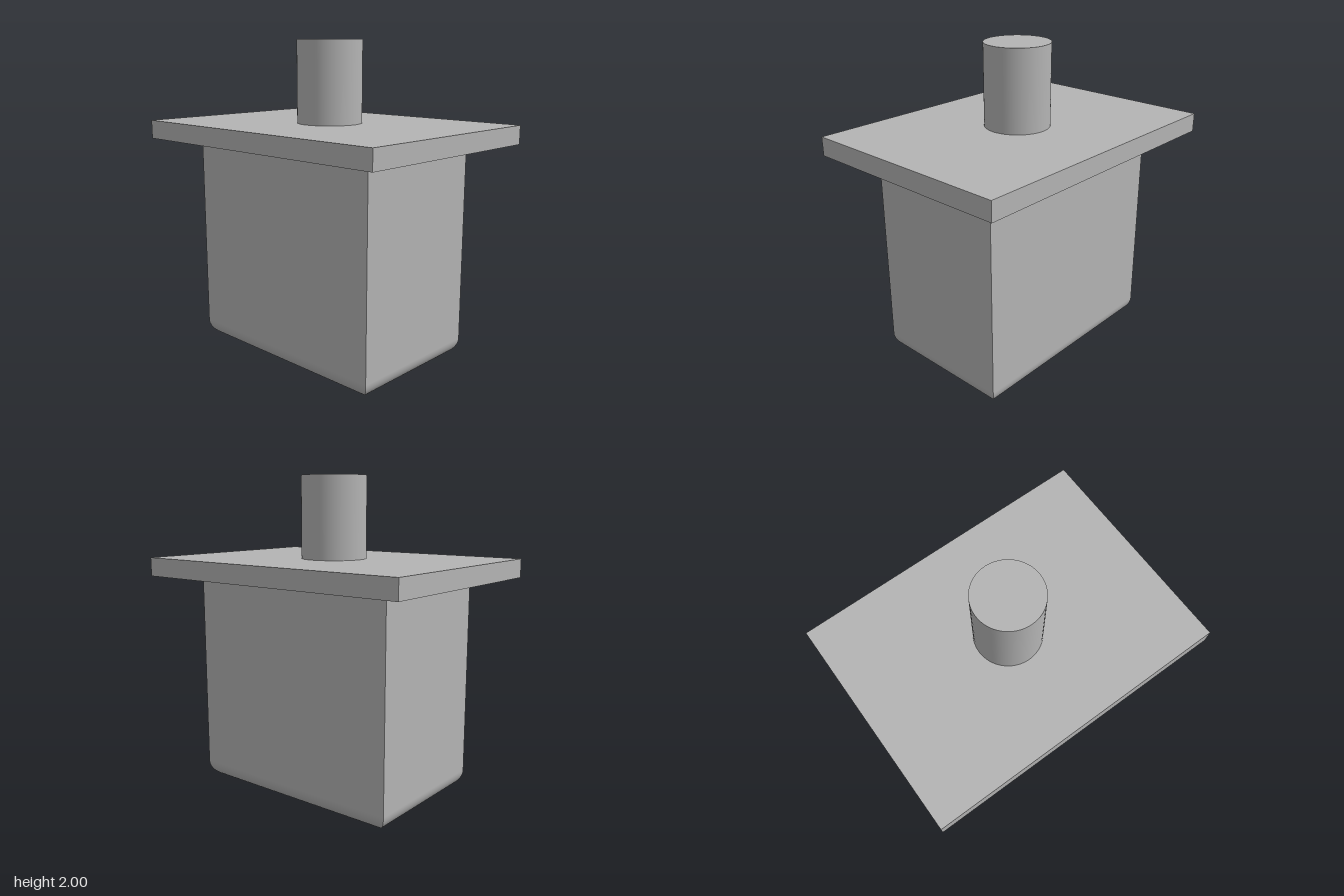
import * as THREE from 'three';
import { mergeGeometries } from 'three/addons/utils/BufferGeometryUtils.js';

const HALF_X = 0.717, HALF_Z = 0.459, BODY_TOP = 1.37, PLATE_TOP = 1.488, RADIUS = 0.11;

// Block with sharp upright edges and rounded bottom edges that meet in mitres
function roundedBottomBlock() {
  // Profile rows from the top down: inset from the side, height, normal angle
  const rows = [[0, BODY_TOP, 0]];
  const steps = 12;
  for (let i = 0; i <= steps; i++) {
    const a = (i / steps) * Math.PI / 2;
    rows.push([RADIUS * (1 - Math.cos(a)), RADIUS * (1 - Math.sin(a)), a]);
  }

  const positions = [], normals = [], uvs = [], index = [];
  for (const [dx, dz] of [[0, 1], [1, 0], [0, -1], [-1, 0]]) {
    const start = positions.length / 3;
    const out = dx ? HALF_X : HALF_Z, across = dx ? HALF_Z : HALF_X;
    rows.forEach(([inset, y, a], i) => {
      for (const s of [-1, 1]) {
        const d = out - inset, t = s * (across - inset);
        positions.push(dx * d + dz * t, y, dz * d - dx * t);
        normals.push(dx * Math.cos(a), -Math.sin(a), dz * Math.cos(a));
        uvs.push((s + 1) / 2, y);
      }
      if (i > 0) {
        const k = start + (i - 1) * 2;
        index.push(k, k + 2, k + 3, k, k + 3, k + 1);
      }
    });
  }
  const sides = new THREE.BufferGeometry();
  sides.setAttribute('position', new THREE.Float32BufferAttribute(positions, 3));
  sides.setAttribute('normal', new THREE.Float32BufferAttribute(normals, 3));
  sides.setAttribute('uv', new THREE.Float32BufferAttribute(uvs, 2));
  sides.setIndex(index);

  // Flat underside
  const underside = new THREE.PlaneGeometry(2 * (HALF_X - RADIUS), 2 * (HALF_Z - RADIUS));
  underside.rotateX(Math.PI / 2);
  return mergeGeometries([sides, underside]);
}

export function createModel() {
  const model = new THREE.Group();
  model.name = 'flangedBlock';
  const grey = new THREE.MeshStandardMaterial({ color: 0xb4b4b4 });
  grey.name = 'plainGrey';

  const add = (name, geometry, y = 0) => {
    const mesh = new THREE.Mesh(geometry, grey);
    mesh.name = name;
    mesh.position.y = y;
    model.add(mesh);
  };

  add('body', roundedBottomBlock());

  // Overhanging plate
  const thickness = PLATE_TOP - BODY_TOP;
  add('flangePlate', new THREE.BoxGeometry(1.89, thickness, 1.384), BODY_TOP + thickness / 2);

  // Round post on top
  const postHeight = 2 - PLATE_TOP;
  add('post', new THREE.CylinderGeometry(0.204, 0.204, postHeight, 64), PLATE_TOP + postHeight / 2);

  return model;
}
